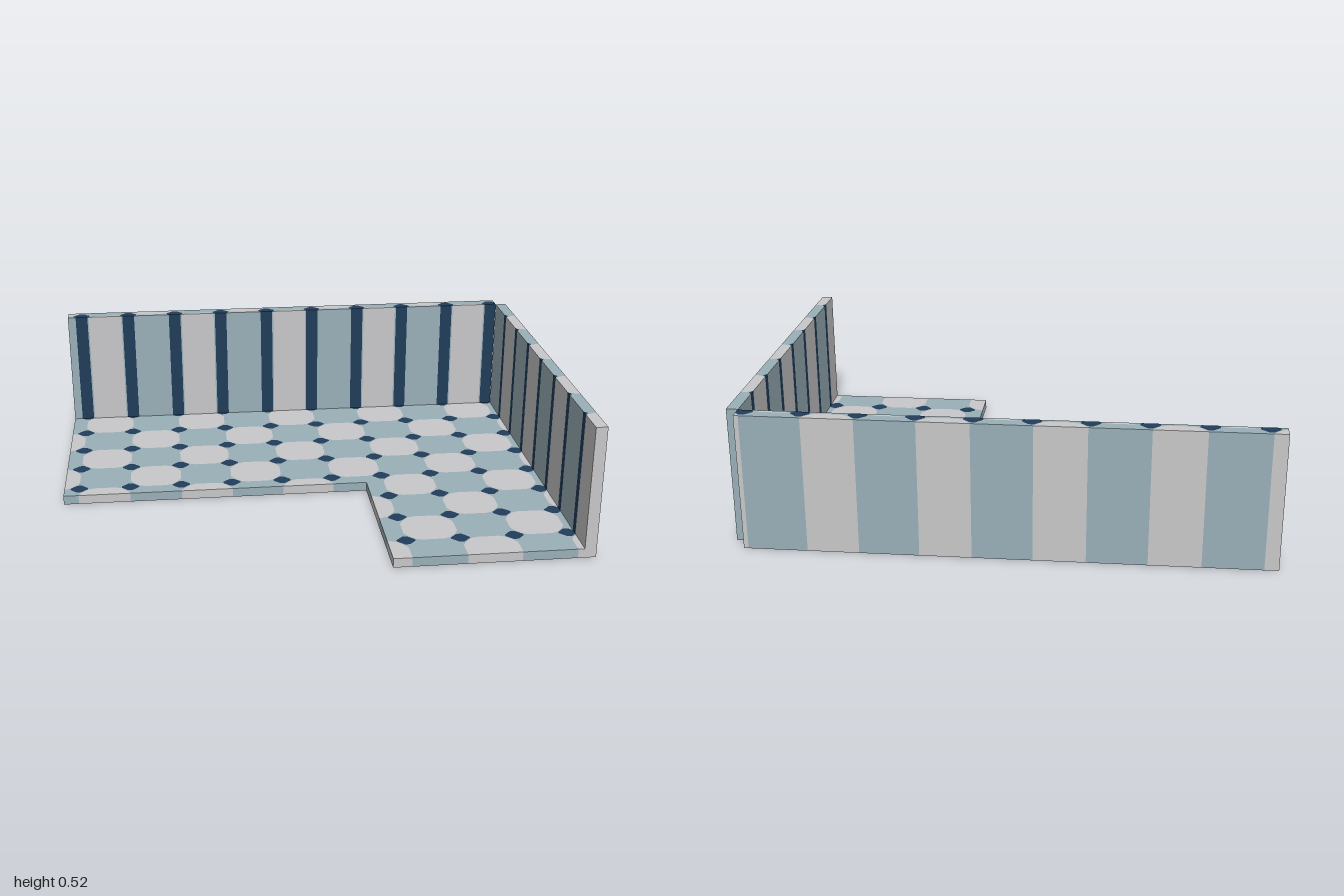
import * as THREE from 'three';

const mats = {
  paleTile: new THREE.MeshStandardMaterial({ color: 0xc8c8ca }),
  blueTile: new THREE.MeshStandardMaterial({ color: 0x9ab0b8 }),
  navyInset: new THREE.MeshStandardMaterial({ color: 0x213c5a }),
};
for (const name in mats) mats[name].name = name;

// Tile grid: spacing and position of the first inset
const DX = 0.2078, DZ = 0.195, X0 = -0.94, Z0 = -0.73;
// Corner outlines as offsets from a grid point: navy inset and rounded tile
const INSET = [[0.036, 0], [0.035, 0.006], [0.01, 0.031], [0, 0.032]];
const ROUND = [[0.06, 0], [0.036, 0.01], [0.012, 0.036], [0, 0.06]];

// Convex pieces of one checker cell, each with its colour
function cellPieces(i, j) {
  const xa = X0 + i * DX, za = Z0 + j * DZ, pieces = [], tile = [];
  for (const [sx, sz] of [[1, 1], [-1, 1], [-1, -1], [1, -1]]) {
    const cx = sx > 0 ? xa : xa + DX, cz = sz > 0 ? za : za + DZ;
    const place = ([a, b]) => [cx + sx * a, cz + sz * b];
    const inner = INSET.map(place), outer = ROUND.map(place);
    pieces.push(['navyInset', [[cx, cz], ...inner]]);
    for (let k = 0; k < 3; k++) {
      pieces.push(['blueTile', [inner[k], outer[k], outer[k + 1], inner[k + 1]]]);
    }
    tile.push(...(sx * sz > 0 ? outer.reverse() : outer));
  }
  pieces.push([(i + j) % 2 === 0 ? 'paleTile' : 'blueTile', tile]);
  return pieces;
}

// Keep the side of a polygon where sign * (p[axis] - limit) >= 0
function clip(poly, axis, limit, sign) {
  const out = [];
  poly.forEach((p, n) => {
    const q = poly[(n + 1) % poly.length];
    const dp = sign * (p[axis] - limit), dq = sign * (q[axis] - limit);
    if (dp >= 0) out.push(p);
    if (dp * dq < 0) {
      const t = dp / (dp - dq);
      const r = [p[0] + (q[0] - p[0]) * t, p[1] + (q[1] - p[1]) * t];
      r[axis] = limit;
      out.push(r);
    }
  });
  return out;
}

const area = (poly) => poly.reduce((s, p, n) => {
  const q = poly[(n + 1) % poly.length];
  return s + (p[0] * q[1] - q[0] * p[1]) / 2;
}, 0);

// A slab whose pattern runs straight through its height;
// sides lists the [axis, limit] edges that get an outer face
function patternedSlab(name, [xa, xb, za, zb], height, sides) {
  const points = { paleTile: [], blueTile: [], navyInset: [] };
  for (let i = -1; i < 10; i++) for (let j = -1; j < 8; j++) {
    for (const [colour, piece] of cellPieces(i, j)) {
      let poly = clip(clip(piece, 0, xa, 1), 0, xb, -1);
      poly = clip(clip(poly, 1, za, 1), 1, zb, -1);
      const size = area(poly);
      if (Math.abs(size) < 1e-8) continue;
      if (size > 0) poly.reverse();
      const add = (...corners) => corners.forEach(([p, y]) => points[colour].push(p[0], y, p[1]));
      // Top and underside
      for (let n = 1; n < poly.length - 1; n++) {
        const [a, b, c] = [poly[0], poly[n], poly[n + 1]];
        add([a, height], [b, height], [c, height]);
        add([a, 0], [c, 0], [b, 0]);
      }
      // Outer faces
      poly.forEach((p, n) => {
        const q = poly[(n + 1) % poly.length];
        const onEdge = ([axis, limit]) =>
          Math.abs(p[axis] - limit) < 1e-6 && Math.abs(q[axis] - limit) < 1e-6;
        if (!sides.some(onEdge)) return;
        add([p, 0], [q, 0], [q, height]);
        add([p, 0], [q, height], [p, height]);
      });
    }
  }
  const group = new THREE.Group();
  group.name = name;
  for (const colour in points) {
    if (!points[colour].length) continue;
    const geometry = new THREE.BufferGeometry();
    geometry.setAttribute('position', new THREE.Float32BufferAttribute(points[colour], 3));
    geometry.computeVertexNormals();
    const mesh = new THREE.Mesh(geometry, mats[colour]);
    mesh.name = `${name}_${colour}`;
    group.add(mesh);
  }
  return group;
}

export function createModel() {
  const model = new THREE.Group();
  model.name = 'tiledCorner';
  const FLOOR = 0.037, WALL = 0.525;
  const back = -0.775, backInner = -0.715, step = 0.112, front = 0.772;
  const sideInner = 0.955, notch = 0.235;
  const allSides = ([xa, xb, za, zb]) => [[0, xa], [0, xb], [1, za], [1, zb]];

  // L-shaped floor
  model.add(
    patternedSlab('floorWing', [-1, notch, backInner, step], FLOOR, [[0, -1], [1, step]]),
    patternedSlab('floorCorner', [notch, sideInner, backInner, step], FLOOR, []),
    patternedSlab('floorFront', [notch, sideInner, step, front], FLOOR, [[0, notch], [1, front]]),
  );

  // Two walls, meeting with a small open notch at the outer corner
  const backRect = [-1, sideInner, back, backInner];
  const sideRect = [sideInner, 1, -0.712, front];
  model.add(
    patternedSlab('backWall', backRect, WALL, allSides(backRect)),
    patternedSlab('sideWall', sideRect, WALL, allSides(sideRect)),
  );
  return model;
}
